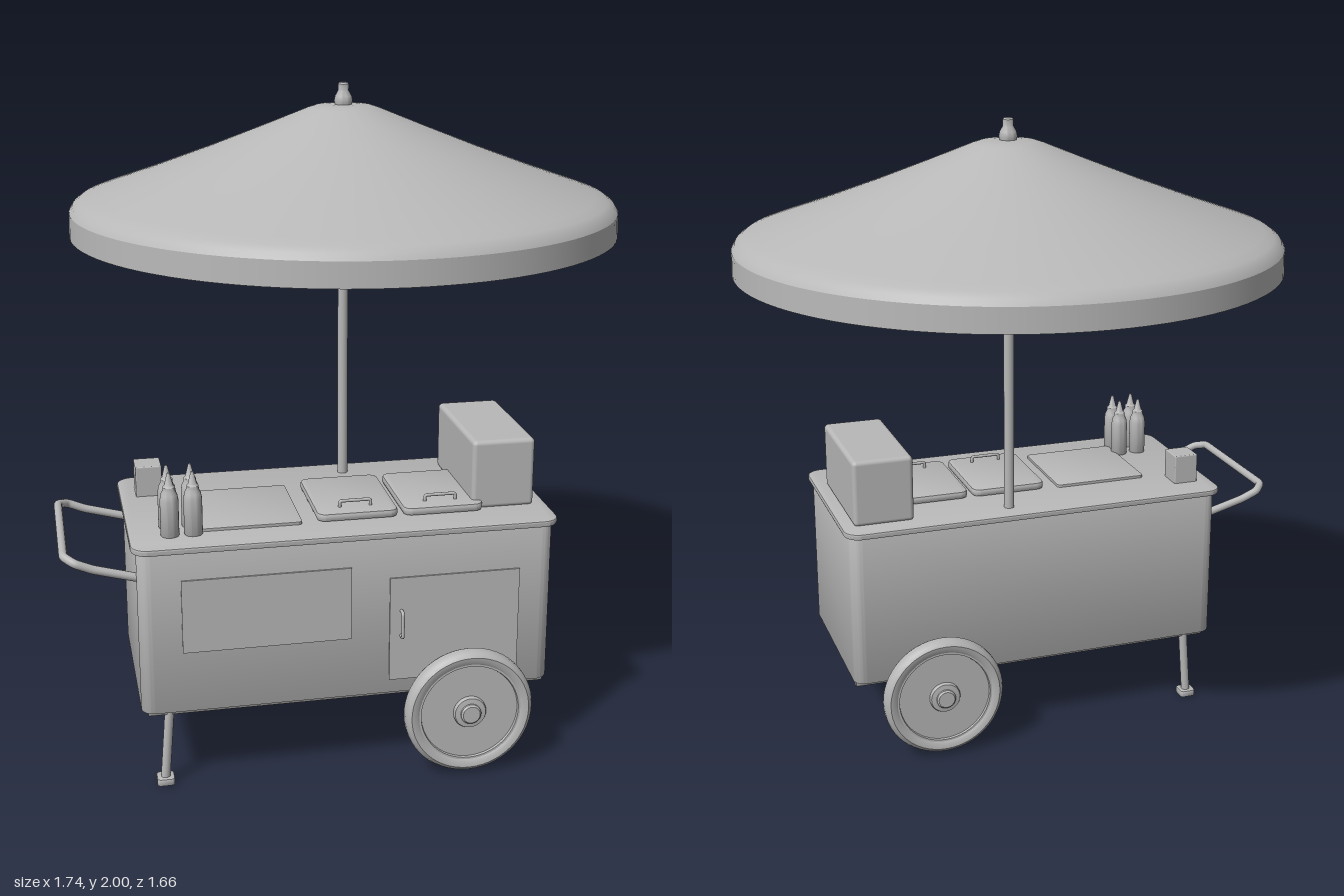
import * as THREE from 'three';
import { toCreasedNormals } from 'three/addons/utils/BufferGeometryUtils.js';
import { RoundedBoxGeometry } from 'three/addons/geometries/RoundedBoxGeometry.js';

const V = (x, y, z) => new THREE.Vector3(x, y, z);

export function createModel() {
  const root = new THREE.Group();
  root.name = 'umbrellaCart';
  const grey = new THREE.MeshStandardMaterial({ color: 0xb8b8b8, side: THREE.DoubleSide });
  grey.name = 'plain grey';

  const add = (name, geometry, x = 0, y = 0, z = 0, parent = root) => {
    const mesh = new THREE.Mesh(geometry, grey);
    mesh.name = name;
    mesh.position.set(x, y, z);
    parent.add(mesh);
    return mesh;
  };
  // Box given by its limits, with softened edges
  const box = (name, x0, x1, y0, y1, z0, z1, r = 0) => {
    const size = [x1 - x0, y1 - y0, z1 - z0];
    const g = r ? new RoundedBoxGeometry(...size, 3, r) : new THREE.BoxGeometry(...size);
    return add(name, g, (x0 + x1) / 2, (y0 + y1) / 2, (z0 + z1) / 2);
  };
  // Upright slab with rounded corners in plan and a small bevel
  const slab = (name, x0, x1, y0, y1, z0, z1, r, b) => {
    const w = (x1 - x0) / 2 - b, d = (z1 - z0) / 2 - b;
    const s = new THREE.Shape();
    s.moveTo(-w + r, -d);
    s.lineTo(w - r, -d);
    s.absarc(w - r, -d + r, r, -Math.PI / 2, 0);
    s.absarc(w - r, d - r, r, 0, Math.PI / 2);
    s.absarc(-w + r, d - r, r, Math.PI / 2, Math.PI);
    s.absarc(-w + r, -d + r, r, Math.PI, Math.PI * 1.5);
    const g = new THREE.ExtrudeGeometry(s, {
      depth: y1 - y0 - 2 * b, bevelSize: b, bevelThickness: b, bevelSegments: 2, curveSegments: 8,
    });
    g.rotateX(-Math.PI / 2);
    return add(name, toCreasedNormals(g, 0.7), (x0 + x1) / 2, y0 + b, (z0 + z1) / 2);
  };
  // Straight round bar between two points
  const bar = (name, a, b, r, parent = root) => {
    const mesh = add(name, new THREE.CylinderGeometry(r, r, a.distanceTo(b), 16), 0, 0, 0, parent);
    mesh.position.copy(a).lerp(b, 0.5);
    mesh.quaternion.setFromUnitVectors(V(0, 1, 0), b.clone().sub(a).normalize());
    return mesh;
  };
  // Tube along a path of straight pieces with softened bends
  const bentTube = (name, pts, r, bend) => {
    const path = new THREE.CurvePath();
    let from = pts[0];
    for (let i = 1; i < pts.length - 1; i++) {
      const p = pts[i];
      const a = p.clone().add(pts[i - 1].clone().sub(p).setLength(bend));
      const b = p.clone().add(pts[i + 1].clone().sub(p).setLength(bend));
      path.add(new THREE.LineCurve3(from, a));
      path.add(new THREE.QuadraticBezierCurve3(a, p, b));
      from = b;
    }
    path.add(new THREE.LineCurve3(from, pts[pts.length - 1]));
    return add(name, new THREE.TubeGeometry(path, 120, r, 12));
  };
  const lathe = (pts, seg = 32) =>
    toCreasedNormals(new THREE.LatheGeometry(pts.map(p => new THREE.Vector2(...p)), seg), 0.6);

  // Cabinet and counter
  slab('cabinet', -0.66, 0.575, 0.25, 0.757, -0.06, 0.53, 0.035, 0.004);
  slab('counter', -0.675, 0.59, 0.75, 0.77, -0.08, 0.545, 0.045, 0.006);
  box('servicePanel', -0.537, -0.04, 0.44, 0.665, 0.527, 0.535);
  box('door', 0.075, 0.47, 0.295, 0.622, 0.527, 0.535);
  bentTube('doorHandle',
    [V(0.11, 0.438, 0.53), V(0.11, 0.438, 0.556), V(0.11, 0.517, 0.556), V(0.11, 0.517, 0.53)], 0.005, 0.008);

  // Underframe rails, legs and feet
  for (const z of [0.485, -0.013]) {
    bar('frameRail', V(-0.64, 0.238, z), V(0.565, 0.238, z), 0.014);
    bar('leg', V(-0.577, 0.24, z), V(-0.595, 0.015, z), 0.014);
    slab('foot', -0.621, -0.569, 0, 0.022, z - 0.026, z + 0.026, 0.008, 0.003);
  }

  // Axle and wheels
  bar('axle', V(0.305, 0.205, -0.14), V(0.305, 0.205, 0.61), 0.011);
  const tyre = lathe([[0.155, -0.02], [0.163, -0.026], [0.18, -0.028], [0.19, -0.021], [0.196, -0.009],
    [0.196, 0.009], [0.19, 0.021], [0.18, 0.028], [0.163, 0.026], [0.155, 0.02]], 56).rotateX(Math.PI / 2);
  const disc = lathe([[0, -0.014], [0.148, -0.014], [0.15, -0.021], [0.157, -0.021],
    [0.157, 0.021], [0.15, 0.021], [0.148, 0.014], [0, 0.014]], 56).rotateX(Math.PI / 2);
  const hub = lathe([[0, -0.039], [0.026, -0.039], [0.031, -0.034], [0.031, -0.028], [0.047, -0.026],
    [0.05, -0.02], [0.05, 0.02], [0.047, 0.026], [0.031, 0.028], [0.031, 0.034], [0.026, 0.039],
    [0, 0.039]]).rotateX(Math.PI / 2);
  for (const z of [0.593, -0.122]) {
    const wheel = new THREE.Group();
    wheel.name = 'wheel';
    wheel.position.set(0.305, 0.205, z);
    root.add(wheel);
    add('tyre', tyre, 0, 0, 0, wheel);
    add('wheelDisc', disc, 0, 0, 0, wheel);
    add('hub', hub, 0, 0, 0, wheel);
  }

  // Push handle
  bentTube('pushHandle', [
    V(-0.64, 0.662, 0.483), V(-0.78, 0.7, 0.483), V(-0.832, 0.722, 0.483), V(-0.862, 0.733, 0.45),
    V(-0.862, 0.733, 0.02), V(-0.832, 0.722, -0.013), V(-0.78, 0.7, -0.013), V(-0.64, 0.662, -0.013),
  ], 0.013, 0.012);

  // Counter fittings: hot plate, two lids, cooler box, napkin box
  slab('hotPlate', -0.47, -0.165, 0.765, 0.779, 0.11, 0.43, 0.012, 0.002);
  for (const x of [0.003, 0.264]) {
    slab('lid', x - 0.122, x + 0.122, 0.771, 0.796, 0.11, 0.43, 0.02, 0.007);
    bentTube('lidHandle',
      [V(x - 0.047, 0.79, 0.375), V(x - 0.047, 0.814, 0.375), V(x + 0.047, 0.814, 0.375), V(x + 0.047, 0.79, 0.375)],
      0.005, 0.008);
  }
  box('coolerBox', 0.357, 0.55, 0.766, 0.98, -0.01, 0.4, 0.014);
  box('napkinBox', -0.625, -0.545, 0.766, 0.865, 0.02, 0.105, 0.004);

  // Squeeze bottles
  const bottle = lathe([[0, 0], [0.025, 0], [0.027, 0.004], [0.027, 0.11], [0.024, 0.128], [0.018, 0.14],
    [0.018, 0.15], [0.013, 0.155], [0.004, 0.192], [0, 0.192]], 24);
  for (const x of [-0.555, -0.487]) for (const z of [0.437, 0.37]) add('bottle', bottle, x, 0.768, z);

  // Umbrella: pole, canopy, valance, finial, ribs and stretchers
  const umbrella = new THREE.Group();
  umbrella.name = 'umbrella';
  umbrella.position.x = 0.042;
  root.add(umbrella);
  bar('pole', V(0, 0.765, 0), V(0, 1.935, 0), 0.016, umbrella);
  add('canopy', lathe([[0.826, 1.632], [0.815, 1.65], [0.795, 1.664], [0.76, 1.677], [0.6, 1.733], [0.42, 1.8],
    [0.25, 1.867], [0.11, 1.924], [0.085, 1.932], [0.05, 1.935], [0, 1.935]], 96), 0, 0, 0, umbrella);
  add('valance', new THREE.CylinderGeometry(0.826, 0.828, 0.072, 96, 1, true), 0, 1.596, 0, umbrella);
  add('finial', lathe([[0, 1.93], [0.024, 1.93], [0.028, 1.945], [0.025, 1.96], [0.016, 1.976],
    [0.016, 1.995], [0.012, 2], [0, 2]], 24), 0, 0, 0, umbrella);
  add('slider', new THREE.CylinderGeometry(0.024, 0.024, 0.04, 20), 0, 1.7, 0, umbrella);
  for (let i = 0; i < 8; i++) {
    const a = (i + 0.5) * Math.PI / 4;
    const at = (r, y) => V(r * Math.cos(a), y, r * Math.sin(a));
    bar('rib', at(0.02, 1.93), at(0.42, 1.791), 0.006, umbrella);
    bar('rib', at(0.42, 1.791), at(0.8, 1.65), 0.006, umbrella);
    bar('stretcher', at(0.015, 1.7), at(0.4, 1.796), 0.004, umbrella);
  }
  return root;
}
